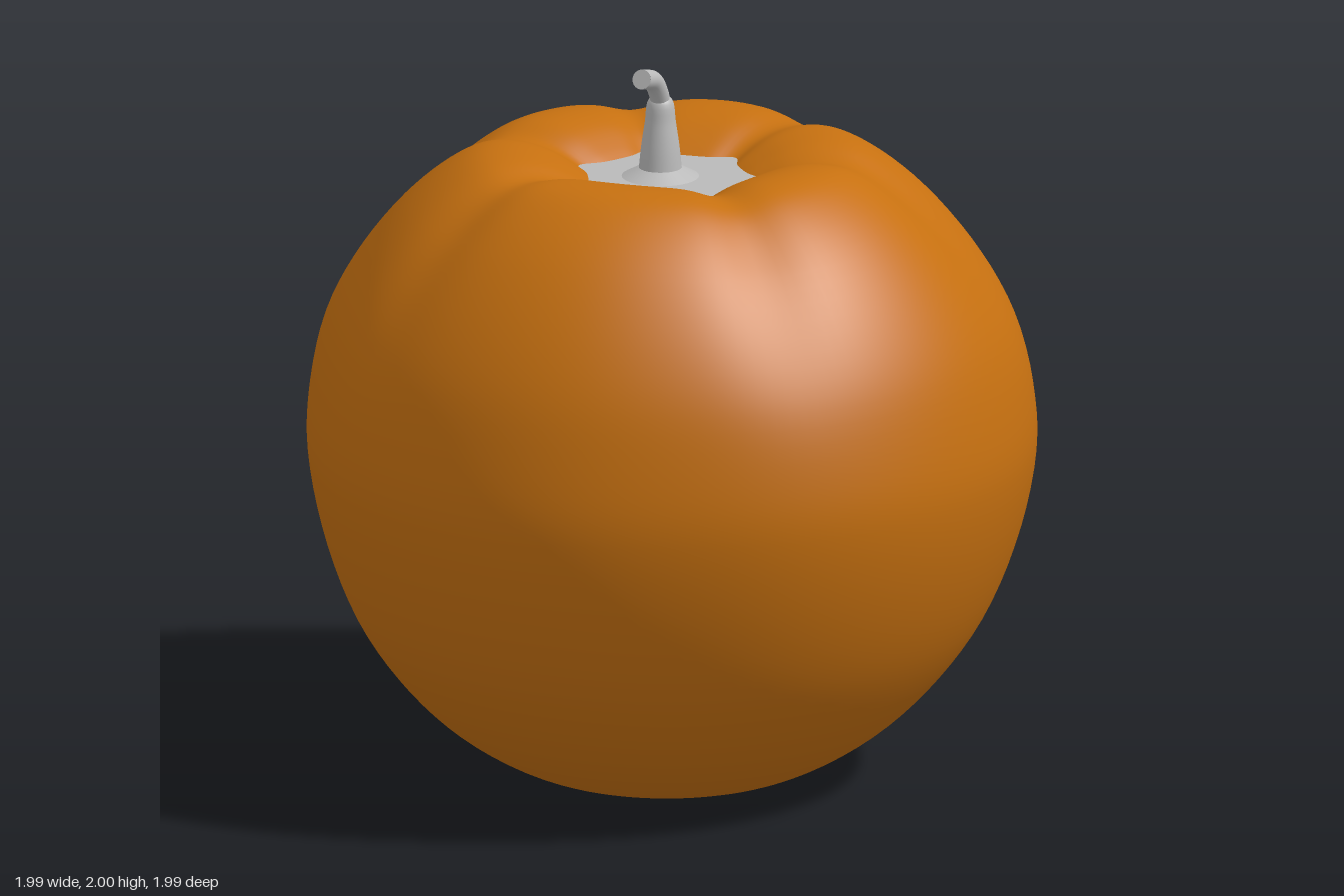
import * as THREE from 'three';
import { mergeVertices } from 'three/addons/utils/BufferGeometryUtils.js';

// Smoothed profile points [radius, height] for lathing, bottom to top
function smoothProfile(points, steps) {
  const curve = new THREE.CatmullRomCurve3(points.map(([r, y]) => new THREE.Vector3(r, y, 0)), false, 'centripetal');
  return curve.getPoints(steps).map((p) => new THREE.Vector2(Math.max(p.x, 0), p.y));
}

// Signed difference between two angles
const angleGap = (a, b) => Math.atan2(Math.sin(a - b), Math.cos(a - b));
const bump = (a, centre, width) => Math.exp(-((angleGap(a, centre) / width) ** 2));
const deg = THREE.MathUtils.degToRad;

export function createModel() {
  const orange = new THREE.MeshStandardMaterial({ color: 0xc67010 });
  orange.name = 'orangeSkin';
  const grey = new THREE.MeshStandardMaterial({ color: 0xbababa });
  grey.name = 'greyStem';

  const model = new THREE.Group();
  model.name = 'pumpkin';

  const add = (name, geometry, material, x = 0, y = 0, z = 0) => {
    const mesh = new THREE.Mesh(geometry, material);
    mesh.name = name;
    mesh.position.set(x, y, z);
    model.add(mesh);
    return mesh;
  };

  // Body: rounded shell with a hollow at the top
  const shell = new THREE.LatheGeometry(smoothProfile([
    [0, 0.005], [0.2, 0.004], [0.32, 0.012], [0.44, 0.055], [0.6, 0.155], [0.74, 0.29],
    [0.86, 0.46], [0.95, 0.68], [0.995, 0.9], [0.99, 1.05], [0.945, 1.25], [0.86, 1.42],
    [0.73, 1.59], [0.61, 1.695], [0.51, 1.748], [0.42, 1.758], [0.33, 1.74],
    [0.25, 1.7], [0.2, 1.667], [0.12, 1.61], [0, 1.58],
  ], 90), 144);
  shell.deleteAttribute('uv');
  shell.deleteAttribute('normal');

  // Creases run outward from the hollow and fade down the sides
  const creases = [-79, -28, 34, 115, 171, 225].map(deg);
  const pos = shell.attributes.position;
  for (let i = 0; i < pos.count; i++) {
    let x = pos.getX(i), y = pos.getY(i), z = pos.getZ(i);
    const r = Math.hypot(x, z);
    const a = Math.atan2(z, x);
    const top = THREE.MathUtils.smoothstep(y, 1.1, 1.72);
    let groove = 0;
    for (const c of creases) groove += 0.022 * bump(a, c, 0.16) + 0.014 * bump(a, c, 0.38);
    groove *= top * THREE.MathUtils.smoothstep(r, 0.03, 0.2);
    // Gentle unevenness of the outline
    const uneven = 0.035 * bump(a, deg(210), 0.26) - 0.018 * bump(a, deg(233), 0.2)
      - 0.03 * bump(a, deg(143), 0.4) - 0.015 * bump(a, deg(55), 0.3);
    const side = Math.sin(Math.PI * THREE.MathUtils.clamp(y / 1.8, 0, 1));
    const scale = 1 + uneven * side - groove * THREE.MathUtils.smoothstep(r, 0.45, 0.7);
    x = x * scale + 0.02 * top;
    z = z * scale + 0.03 * top;
    y -= groove * (1 - 0.5 * THREE.MathUtils.smoothstep(r, 0.5, 0.9));
    pos.setXYZ(i, x, y, z);
  }
  const body = mergeVertices(shell, 1e-5);
  body.computeVertexNormals();
  add('body', body, orange);

  // Cap disc set in the hollow; the creases shape its visible edge
  add('stemCap', new THREE.CylinderGeometry(0.27, 0.14, 0.03, 48), grey, 0.02, 1.655, 0.03);

  // Flared foot and upright part of the stem
  add('stemFoot', new THREE.CylinderGeometry(0.058, 0.105, 0.025, 32, 1, true), grey, 0, 1.682, 0.03);
  add('stemBase', new THREE.LatheGeometry(smoothProfile([
    [0.058, 1.69], [0.052, 1.75], [0.042, 1.82], [0.031, 1.885], [0, 1.9],
  ], 20), 32), grey, 0, 0, 0.03);

  // Bent tip of the stem
  const bend = new THREE.CatmullRomCurve3([
    new THREE.Vector3(0, 1.87, 0.03), new THREE.Vector3(0.004, 1.9, 0.042),
    new THREE.Vector3(0.013, 1.95, 0.085), new THREE.Vector3(0.024, 1.973, 0.155),
  ]);
  add('stemTip', new THREE.TubeGeometry(bend, 16, 0.027, 20), grey);
  const end = add('stemEnd', new THREE.CircleGeometry(0.027, 20), grey);
  end.position.copy(bend.getPoint(1));
  end.lookAt(bend.getPoint(1).add(bend.getTangent(1)));

  return model;
}
